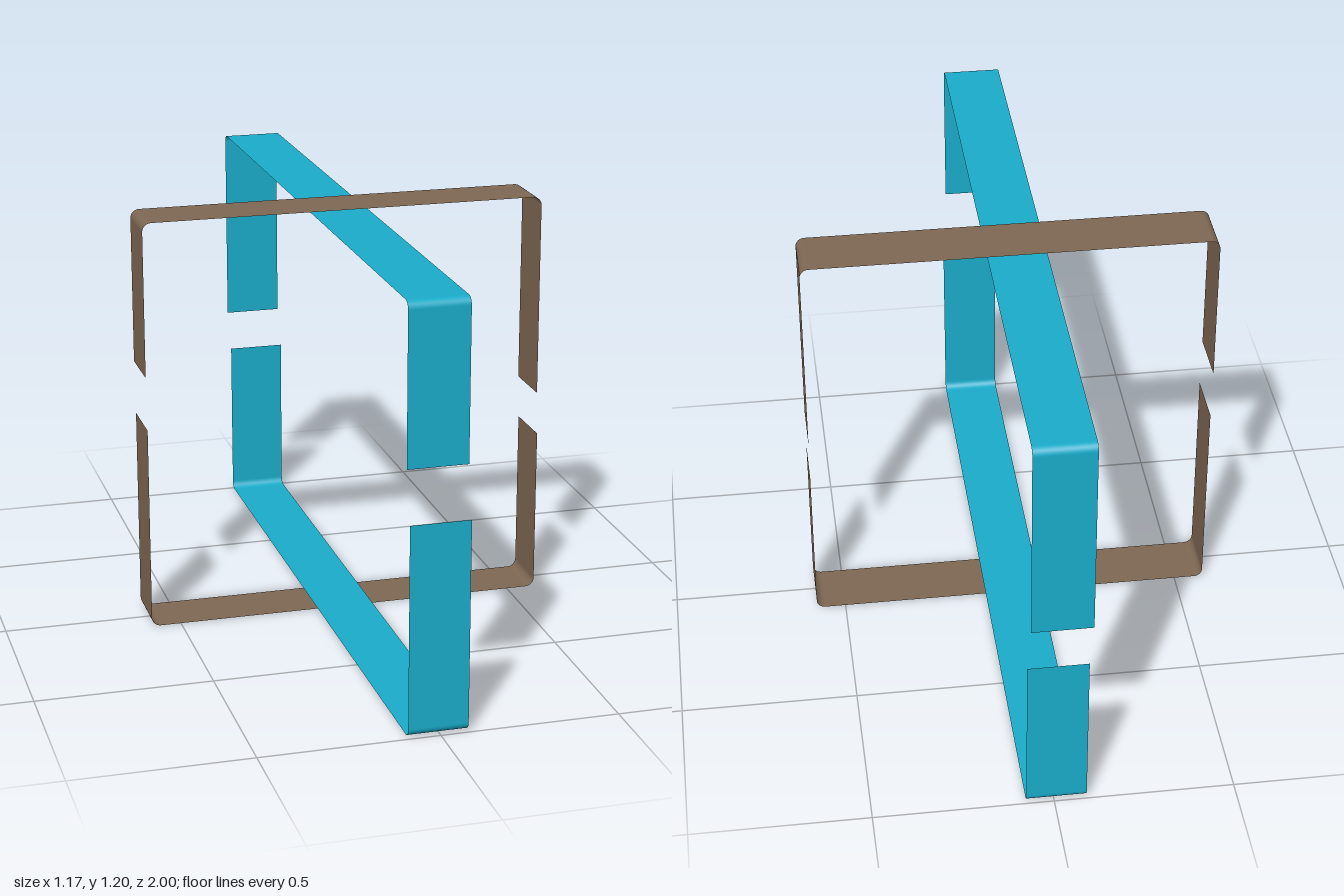
import * as THREE from 'three';

// Thin ribbon bent into a U: leg, rounded corner, span, rounded corner, leg.
// dir = 1 opens downward, dir = -1 is the same shape turned upside down.
function bracketGeometry({ half, y, dir, legNeg, legPos, near, far, radius }) {
  const profile = []; // [x, y, normalX, normalY]
  const add = (x, py, nx, ny) => profile.push([x, py, nx, ny]);
  const corner = (cx, from) => {
    const steps = 8;
    for (let i = 0; i <= steps; i++) {
      const a = from - (i / steps) * (Math.PI / 2);
      const nx = Math.cos(a), ny = Math.sin(a);
      add(cx + nx * radius, y + dir * (ny - 1) * radius * dir, nx, ny);
    }
  };
  // Shape is traced as an upper bracket, then turned by 180 degrees if needed
  const startLeg = dir > 0 ? legNeg : legPos;
  const endLeg = dir > 0 ? legPos : legNeg;
  add(-half, y - Math.abs(y - startLeg), -1, 0);
  corner(-half + radius, Math.PI);
  corner(half - radius, Math.PI / 2);
  add(half, y - Math.abs(y - endLeg), 1, 0);

  const position = [], normal = [], index = [];
  profile.forEach(([px, py, nx, ny], i) => {
    for (const z of [near, far]) {
      position.push(px * dir, y + (py - y) * dir, z);
      normal.push(nx * dir, ny * dir, 0);
    }
    if (i < profile.length - 1) {
      const a = i * 2;
      index.push(a, a + 1, a + 2, a + 1, a + 3, a + 2);
    }
  });
  const geometry = new THREE.BufferGeometry();
  geometry.setAttribute('position', new THREE.Float32BufferAttribute(position, 3));
  geometry.setAttribute('normal', new THREE.Float32BufferAttribute(normal, 3));
  geometry.setIndex(index);
  return geometry;
}

export function createModel() {
  const model = new THREE.Group();

  // Two crossing frames, each made of an upper and a lower bracket
  const frames = [
    { name: 'brownFrame', color: 0x7d6752, half: 0.585, top: 1.203, bottom: 0.003, radius: 0.025, turn: 0 },
    { name: 'blueFrame', color: 0x1aabc9, half: 0.998, top: 1.199, bottom: 0.007, radius: 0.022, turn: Math.PI / 2 },
  ];

  for (const { name, color, half, top, bottom, radius, turn } of frames) {
    const material = new THREE.MeshStandardMaterial({ color, side: THREE.DoubleSide });
    const frame = new THREE.Group();
    frame.name = name;

    const upper = new THREE.Mesh(bracketGeometry({
      half, radius, y: top, dir: 1, legNeg: 0.755, legPos: 0.61, near: -0.1, far: 0.067,
    }), material);
    upper.name = 'upperBracket';

    const lower = new THREE.Mesh(bracketGeometry({
      half, radius, y: bottom, dir: -1, legNeg: 0.602, legPos: 0.487, near: -0.09, far: 0.077,
    }), material);
    lower.name = 'lowerBracket';

    frame.add(upper, lower);
    frame.rotation.y = turn;
    model.add(frame);
  }
  return model;
}
